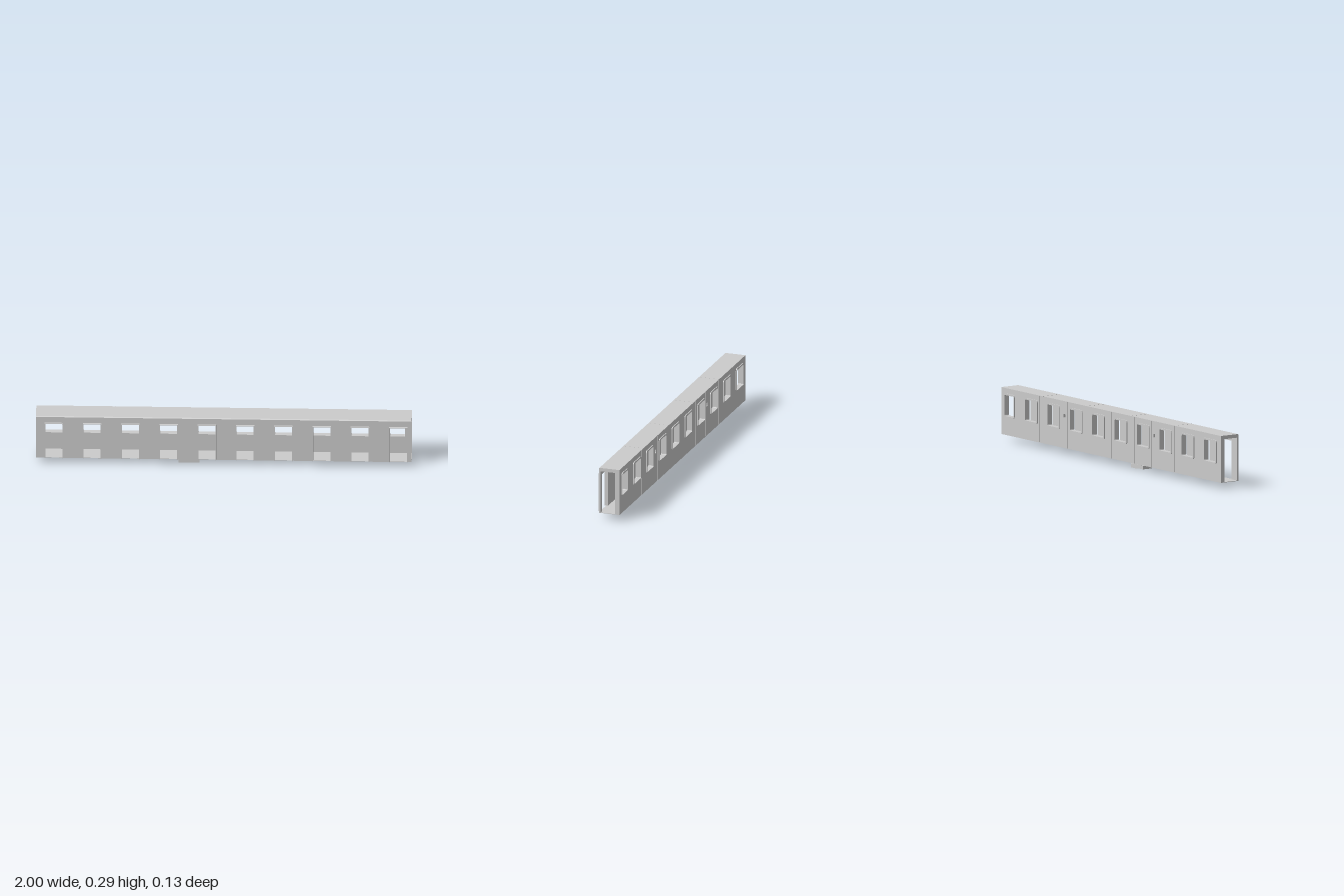
import * as THREE from 'three';

const material = new THREE.MeshStandardMaterial({ color: 0xcccccc, flatShading: true });

// Main dimensions
const FLOOR = 0.036, TOP = 0.287, CEILING = 0.268;
const FRONT = 0.057, BACK = -0.06;
const DOOR_TOP = 0.248, DOOR_HALF = 0.0485;
const PITCH = 0.2037, COUNT = 10;
const doorX = (i) => -0.904 + i * PITCH;

function add(group, name, geometry) {
  const mesh = new THREE.Mesh(geometry, material);
  mesh.name = name;
  group.add(mesh);
  return mesh;
}

// Box given by its lower and upper corners
function box(group, name, x0, x1, y0, y1, z0, z1) {
  const mesh = add(group, name, new THREE.BoxGeometry(x1 - x0, y1 - y0, z1 - z0));
  mesh.position.set((x0 + x1) / 2, (y0 + y1) / 2, (z0 + z1) / 2);
  return mesh;
}

// Traces a rectangle with rounded corners
function roundRect(path, x0, x1, y0, y1, r) {
  path.moveTo(x0 + r, y0);
  path.lineTo(x1 - r, y0);
  path.quadraticCurveTo(x1, y0, x1, y0 + r);
  path.lineTo(x1, y1 - r);
  path.quadraticCurveTo(x1, y1, x1 - r, y1);
  path.lineTo(x0 + r, y1);
  path.quadraticCurveTo(x0, y1, x0, y1 - r);
  path.lineTo(x0, y0 + r);
  path.quadraticCurveTo(x0, y0, x0 + r, y0);
  return path;
}

function extrude(shape, z0, z1) {
  const geometry = new THREE.ExtrudeGeometry(shape, { depth: z1 - z0, bevelEnabled: false, curveSegments: 4 });
  return geometry.translate(0, 0, z0);
}

// Opening of each rear window; the last one is narrower
function windowSpan(i) {
  return i === COUNT - 1 ? [0.882, 0.963] : [doorX(i) - 0.05, doorX(i) + 0.05];
}

function buildFrontWall(group) {
  const s = new THREE.Shape();
  s.moveTo(-1, CEILING);
  s.lineTo(-1, FLOOR);
  for (let i = 0; i < COUNT; i++) {
    const a = doorX(i) - DOOR_HALF, b = doorX(i) + DOOR_HALF;
    s.lineTo(a, FLOOR);
    s.lineTo(a, DOOR_TOP);
    s.lineTo(b, DOOR_TOP);
    s.lineTo(b, FLOOR);
  }
  s.lineTo(1, FLOOR);
  s.lineTo(1, CEILING);
  add(group, 'frontWall', extrude(s, 0.047, FRONT));

  // Projecting frame around every doorway
  for (let i = 0; i < COUNT; i++) {
    const frame = new THREE.Group();
    frame.name = 'doorFrame';
    frame.position.x = doorX(i);
    for (const side of [-1, 1]) {
      const c = side * (DOOR_HALF - 0.001);
      box(frame, 'doorPost', c - 0.002, c + 0.002, FLOOR, DOOR_TOP, 0.047, 0.066);
    }
    box(frame, 'doorLintel', -DOOR_HALF, DOOR_HALF, DOOR_TOP - 0.003, DOOR_TOP + 0.001, 0.047, 0.066);
    group.add(frame);
  }
  box(group, 'doorHandle', -0.139, -0.134, 0.154, 0.16, 0.057, 0.062);
}

function buildBackWall(group) {
  const s = new THREE.Shape();
  s.moveTo(-1, FLOOR);
  s.lineTo(1, FLOOR);
  s.lineTo(1, CEILING);
  s.lineTo(-1, CEILING);
  s.closePath();
  for (let i = 0; i < COUNT; i++) {
    const [a, b] = windowSpan(i);
    s.holes.push(roundRect(new THREE.Path(), a, b, 0.137, 0.25, 0.006));
  }
  // Two small ports between windows
  for (const x of [-0.392, 0.425]) {
    s.holes.push(roundRect(new THREE.Path(), x - 0.008, x + 0.008, 0.196, 0.218, 0.003));
  }
  add(group, 'backWall', extrude(s, BACK, -0.035));

  // Raised rounded surround for each window
  for (let i = 0; i < COUNT; i++) {
    const [a, b] = windowSpan(i);
    const rim = i === COUNT - 1 ? 0.005 : 0.009;
    const frame = roundRect(new THREE.Shape(), a - rim, b + rim, 0.13, 0.259, 0.013);
    frame.holes.push(roundRect(new THREE.Path(), a, b, 0.137, 0.25, 0.006));
    add(group, 'windowFrame', extrude(frame, -0.065, BACK));
  }
  // Panel joints
  for (const x of [-0.776, -0.575, -0.412, -0.37, -0.21, -0.006, 0.2, 0.4, 0.447, 0.654, 0.866]) {
    box(group, 'wallJoint', x - 0.001, x + 0.001, FLOOR, TOP - 0.002, BACK - 0.0008, BACK);
  }
}

function buildRoof(group) {
  // Cross-section with a small chamfer on the front edge
  const s = new THREE.Shape();
  s.moveTo(-FRONT, CEILING);
  s.lineTo(-BACK, CEILING);
  s.lineTo(-BACK, TOP);
  s.lineTo(-FRONT + 0.005, TOP);
  s.lineTo(-FRONT, TOP - 0.004);
  s.closePath();
  add(group, 'roof', extrude(s, -1, 1).rotateY(Math.PI / 2));
  for (const x of [-0.58, -0.18, 0.22, 0.62]) {
    box(group, 'roofJoint', x - 0.001, x + 0.001, TOP, TOP + 0.0006, BACK, FRONT - 0.006);
  }
}

export function createModel() {
  const model = new THREE.Group();
  model.name = 'carriageBody';
  box(model, 'floor', -1, 1, FLOOR - 0.002, FLOOR + 0.0005, BACK, FRONT);
  buildFrontWall(model);
  buildBackWall(model);
  buildRoof(model);

  // Equipment box hanging under the floor
  box(model, 'underfloorMount', -0.222, -0.148, 0.022, 0.034, -0.023, 0.037);
  box(model, 'underfloorBox', -0.24, -0.13, 0.003, 0.022, -0.024, 0.037);
  box(model, 'underfloorPlate', -0.19, -0.13, 0, 0.003, -0.024, 0.007);
  return model;
}
